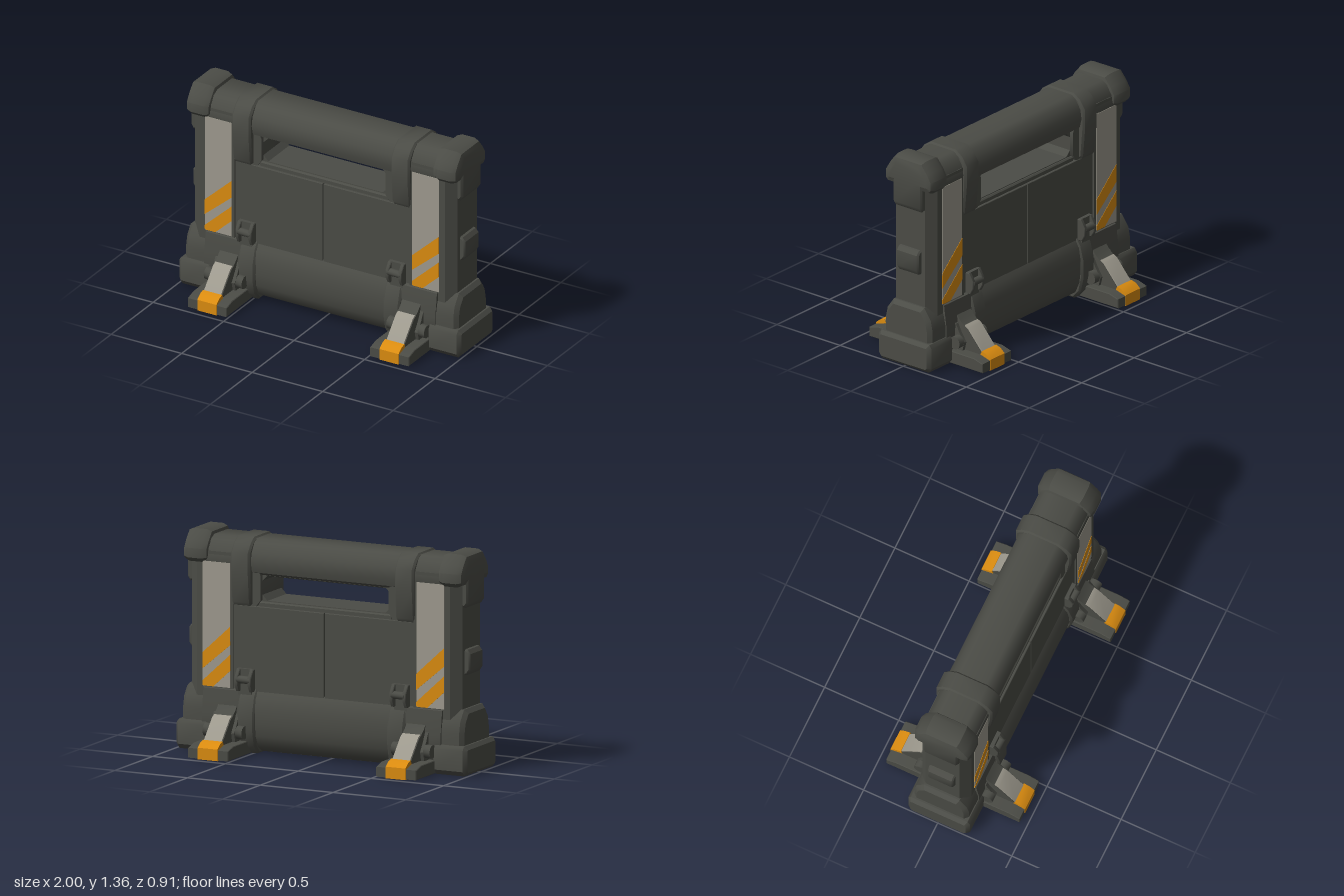
import * as THREE from 'three';
import { toCreasedNormals } from 'three/addons/utils/BufferGeometryUtils.js';

export function createModel() {
  const model = new THREE.Group();
  model.name = 'barrier';
  const mat = (name, color) => {
    const m = new THREE.MeshStandardMaterial({ color });
    m.name = name;
    return m;
  };
  const dark = mat('dark grey', 0x4b4c46);
  const pale = mat('pale grey', 0x9e9a8e);
  const orange = mat('orange', 0xdb8c10);

  const extrude = (pts, depth, bevel, hole) => {
    const shape = new THREE.Shape(pts.map(p => new THREE.Vector2(p[0], p[1])));
    if (hole) shape.holes.push(new THREE.Path(hole.map(p => new THREE.Vector2(p[0], p[1]))));
    const g = new THREE.ExtrudeGeometry(shape, {
      depth: depth - 2 * bevel, bevelEnabled: bevel > 0, bevelThickness: bevel,
      bevelSize: bevel, bevelOffset: -bevel, bevelSegments: bevel > 0.03 ? 2 : 1,
    });
    return g.translate(0, 0, bevel);
  };
  const add = (parent, name, material, geometry) => {
    const mesh = new THREE.Mesh(toCreasedNormals(geometry, 0.65), material);
    mesh.name = name;
    parent.add(mesh);
    return mesh;
  };
  // Cross-section in [z, y] swept along x
  const prism = (parent, name, material, pts, xa, xb, bevel = 0) => {
    const g = extrude(pts.map(([z, y]) => [-z, y]), Math.abs(xb - xa), bevel);
    return add(parent, name, material, g.rotateY(Math.PI / 2).translate(Math.min(xa, xb), 0, 0));
  };
  // Outline in [x, y] swept along z
  const slab = (parent, name, material, pts, z0, z1, bevel = 0, hole) =>
    add(parent, name, material, extrude(pts, z1 - z0, bevel, hole).translate(0, 0, z0));
  const rect = (a0, a1, b0, b1) => [[a0, b0], [a1, b0], [a1, b1], [a0, b1]];
  // Mirrors a half profile of [z, y], listed from bottom to top
  const both = half => [...half, ...half.slice().reverse().map(([z, y]) => [-z, y])];
  // Rectangle outline with cut corners
  const cut = (a0, a1, b0, b1, c) => [
    [a0 + c, b0], [a1 - c, b0], [a1, b0 + c], [a1, b1 - c],
    [a1 - c, b1], [a0 + c, b1], [a0, b1 - c], [a0, b0 + c]];

  // Core with the carrying slot
  slab(model, 'core', dark, rect(-0.68, 0.68, 0.1, 1.2), -0.125, 0.125, 0,
    cut(-0.44, 0.44, 0.955, 1.112, 0.035));
  // Top rail
  prism(model, 'topRail', dark,
    both([[0.11, 1.105], [0.155, 1.13], [0.17, 1.19], [0.16, 1.25], [0.125, 1.305], [0.09, 1.33]]), -0.84, 0.84);
  // Rounded lower beam
  prism(model, 'lowerBeam', dark,
    both([[0.1, 0.015], [0.155, 0.05], [0.187, 0.12], [0.198, 0.2], [0.195, 0.28], [0.18, 0.35], [0.15, 0.4]]), -0.56, 0.56);

  for (const s of [1, -1]) {
    const side = new THREE.Group();
    side.name = s > 0 ? 'leftEnd' : 'rightEnd';
    model.add(side);
    const xs = pts => pts.map(([x, y]) => [s * x, y]);

    // Upright post with chamfered outer corners
    const post = extrude([[s * 0.62, 0.165], [s * 0.87, 0.165], [s * 0.93, 0.115],
      [s * 0.93, -0.115], [s * 0.87, -0.165], [s * 0.62, -0.165]], 1.06, 0);
    add(side, 'post', dark, post.rotateX(-Math.PI / 2).translate(0, 0.18, 0));
    // Corner cap and its outer tab
    prism(side, 'cornerCap', dark,
      both([[0.165, 1.165], [0.19, 1.19], [0.19, 1.25], [0.16, 1.3], [0.11, 1.36]]), s * 0.785, s * 0.965, 0.045);
    slab(side, 'capTab', dark, xs([[0.9, 1.04], [0.945, 1.03], [0.965, 1.06], [0.965, 1.25], [0.9, 1.25]]),
      -0.115, 0.115, 0.012);
    // Raised pad on the outer face
    slab(side, 'sidePad', dark, xs([[0.9, 0.6], [0.945, 0.61], [0.965, 0.64], [0.965, 0.74], [0.945, 0.765], [0.9, 0.775]]),
      -0.087, 0.087, 0.01);
    // Clamp round the rail
    prism(side, 'railClamp', dark,
      both([[0.16, 0.92], [0.172, 0.94], [0.188, 1.12], [0.188, 1.25], [0.15, 1.305], [0.1, 1.34]]), s * 0.497, s * 0.63, 0.012);
    // Gusset between clamp and slot
    slab(side, 'slotGusset', dark, xs([[0.44, 0.96], [0.47, 0.92], [0.52, 0.92], [0.52, 1.15], [0.46, 1.15], [0.44, 1.11]]),
      -0.15, 0.15);
    // Base shoe, ankle and leg mounts
    prism(side, 'baseShoe', dark, both([[0.185, 0], [0.208, 0.03], [0.208, 0.16], [0.19, 0.185]]), s * 0.76, s, 0.022);
    prism(side, 'ankle', dark, both([[0.185, 0.15], [0.185, 0.26], [0.17, 0.33], [0.12, 0.4]]), s * 0.77, s * 0.967, 0.025);
    prism(side, 'mountBlock', dark, both([[0.15, 0.02], [0.19, 0.08], [0.195, 0.24], [0.175, 0.39], [0.15, 0.4]]),
      s * 0.56, s * 0.82);
    prism(side, 'beamCollar', dark,
      both([[0.14, 0.005], [0.19, 0.06], [0.212, 0.16], [0.212, 0.26], [0.185, 0.36], [0.155, 0.405]]), s * 0.455, s * 0.575, 0.012);
  }

  // Front and back details, turned half a circle about y
  for (const turn of [0, Math.PI]) {
    const face = new THREE.Group();
    face.name = turn ? 'backFace' : 'frontFace';
    face.rotation.y = turn;
    model.add(face);

    // Two cover panels and the sill under the slot
    for (const s of [1, -1])
      slab(face, 'coverPanel', dark, rect(Math.min(s * 0.003, s * 0.635), Math.max(s * 0.003, s * 0.635), 0.38, 0.92),
        0.11, 0.155, 0.003);
    slab(face, 'slotSill', dark, rect(-0.46, 0.46, 0.91, 0.95), 0.1, 0.14, 0.008);

    // Reflector plates with rising stripes
    for (const x of [0.64, -0.83]) {
      slab(face, 'reflector', pale, rect(x, x + 0.19, 0.4, 1.175), 0.162, 0.169);
      slab(face, 'upperStripe', orange,
        [[x, 0.505], [x + 0.19, 0.665], [x + 0.19, 0.78], [x, 0.605]], 0.165, 0.171);
      slab(face, 'lowerStripe', orange,
        [[x + 0.01, 0.4], [x + 0.075, 0.4], [x + 0.19, 0.505], [x + 0.19, 0.605], [x, 0.43], [x, 0.405]], 0.165, 0.171);
    }

    for (const s of [1, -1]) {
      const leg = new THREE.Group();
      leg.name = 'footAssembly';
      face.add(leg);

      // Latch above the collar
      for (const x of [0.475, 0.565])
        prism(leg, 'latchCheek', dark,
          [[0.14, 0.39], [0.19, 0.39], [0.212, 0.43], [0.212, 0.48], [0.18, 0.53], [0.14, 0.53]], s * x, s * (x + 0.025), 0.004);
      prism(leg, 'latchPlate', dark, rect(0.14, 0.178, 0.36, 0.53), s * 0.49, s * 0.58);
      const pin = new THREE.CylinderGeometry(0.024, 0.024, 0.09, 10).rotateZ(Math.PI / 2);
      add(leg, 'latchPin', dark, pin.translate(s * 0.532, 0.465, 0.192));

      // Flat foot with a raised strut
      prism(leg, 'footPlate', dark, [[0.14, 0.004], [0.45, 0.004], [0.45, 0.065], [0.38, 0.085], [0.14, 0.085]],
        s * 0.508, s * 0.785, 0.004);
      prism(leg, 'strut', dark,
        [[0.15, 0.06], [0.4, 0.06], [0.385, 0.095], [0.27, 0.225], [0.245, 0.24], [0.21, 0.27], [0.15, 0.34]],
        s * 0.583, s * 0.712);
      prism(leg, 'strutFace', pale,
        [[0.388, 0.093], [0.392, 0.099], [0.275, 0.232], [0.248, 0.246], [0.244, 0.24], [0.27, 0.225]],
        s * 0.587, s * 0.708);
      // Orange toe wrapping under the foot
      prism(leg, 'toe', orange,
        [[0.4, 0.002], [0.454, 0.002], [0.454, 0.072], [0.42, 0.1], [0.385, 0.11], [0.375, 0.09]], s * 0.578, s * 0.714);
      prism(leg, 'solePad', orange, rect(0.29, 0.454, 0, 0.007), s * 0.578, s * 0.714);

      // Hinge lugs and bolts beside the strut
      for (const x of [0.535, 0.758]) {
        const bolt = new THREE.CylinderGeometry(0.042, 0.042, 0.045, 10).rotateZ(Math.PI / 2);
        add(leg, 'hingeBolt', dark, bolt.translate(s * x, 0.142, 0.224));
      }
      const axle = new THREE.CylinderGeometry(0.025, 0.025, 0.24, 10).rotateZ(Math.PI / 2);
      add(leg, 'hingeAxle', dark, axle.translate(s * 0.647, 0.142, 0.224));
      for (const x of [0.562, 0.715])
        prism(leg, 'hingeLug', dark,
          [[0.15, 0.08], [0.25, 0.08], [0.265, 0.14], [0.225, 0.2], [0.2, 0.25], [0.15, 0.27]], s * x, s * (x + 0.022));
    }
  }
  return model;
}
